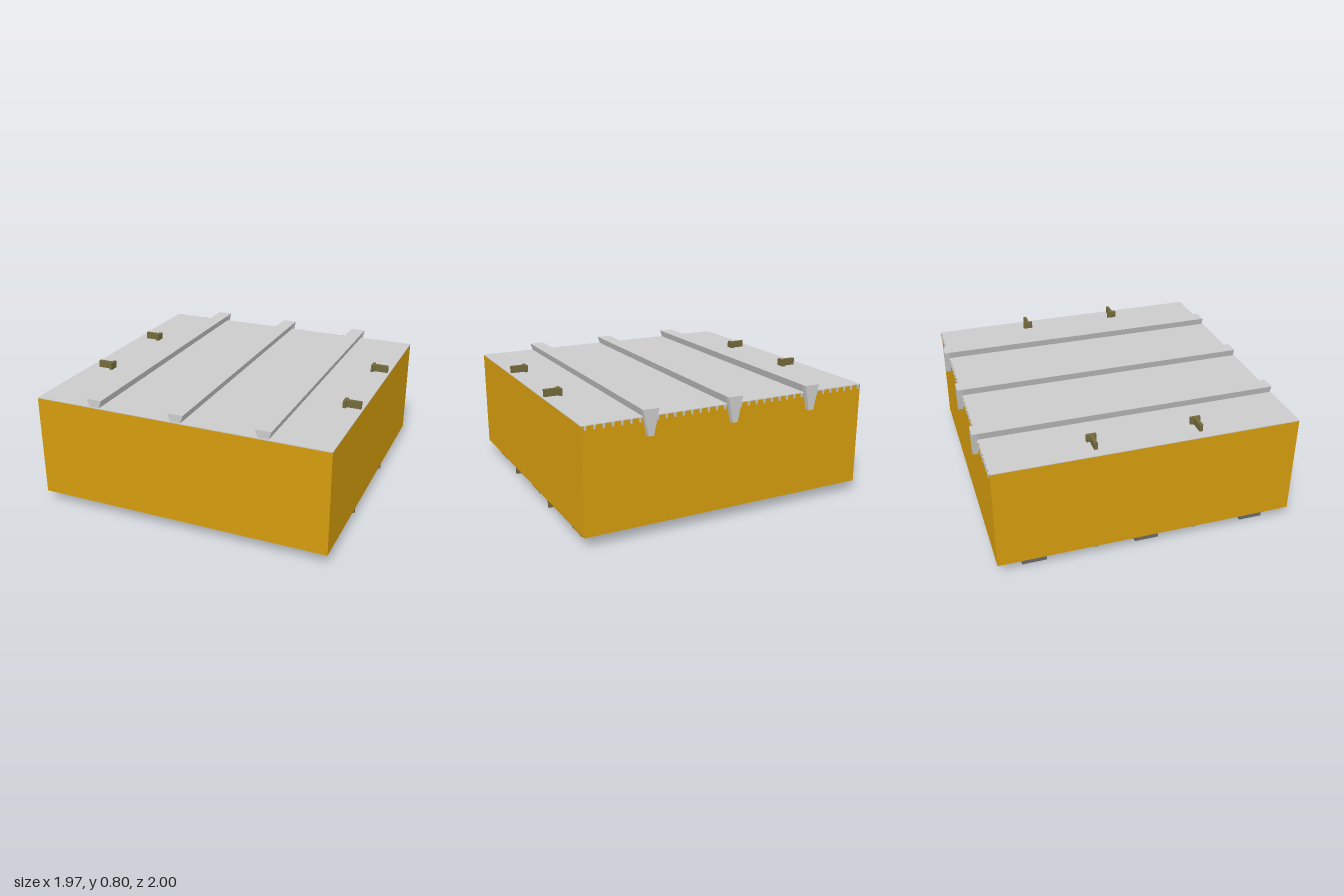
import * as THREE from 'three';

const paint = (color) => new THREE.MeshStandardMaterial({ color, flatShading: true });

export function createModel() {
  const model = new THREE.Group();
  const yellow = paint(0xd59c0d);
  const grey = paint(0xcccccc);
  const olive = paint(0x746a3c);
  const dark = paint(0x686868);
  dark.side = THREE.DoubleSide;

  const add = (name, geometry, material, parent = model) => {
    const mesh = new THREE.Mesh(geometry, material);
    mesh.name = name;
    parent.add(mesh);
    return mesh;
  };
  // Box given by its extents on each axis
  const box = (name, [x0, x1], [y0, y1], [z0, z1], material, parent) => {
    const mesh = add(name, new THREE.BoxGeometry(x1 - x0, y1 - y0, z1 - z0), material, parent);
    mesh.position.set((x0 + x1) / 2, (y0 + y1) / 2, (z0 + z1) / 2);
    return mesh;
  };
  // Symmetric profile of [halfWidth, y] points, extruded from z0 to z1
  const prism = (points, z0, z1) => {
    const right = points.map(([w, y]) => new THREE.Vector2(w, y));
    const left = points.map(([w, y]) => new THREE.Vector2(-w, y)).reverse();
    const shape = new THREE.Shape([...right, ...left]);
    return new THREE.ExtrudeGeometry(shape, { depth: z1 - z0, bevelEnabled: false }).translate(0, 0, z0);
  };

  // Main body and thin lid
  box('body', [-0.983, 0.983], [0.07, 0.745], [-0.965, 1], yellow);
  box('lid', [-0.983, 0.983], [0.745, 0.75], [-0.966, 1], grey);

  // Ribs along the lid, each with a tapered end hanging over the back
  for (const x of [-0.565, 0, 0.565]) {
    const rib = new THREE.Group();
    rib.name = 'rib';
    rib.position.x = x;
    add('ribBar', prism([[0.034, 0.748], [0.051, 0.8]], -0.965, 0.992), grey, rib);
    add('ribEnd', prism([[0.017, 0.637], [0.051, 0.8]], -1, -0.965), grey, rib);
    model.add(rib);
  }

  // Row of small teeth under the back edge of the lid
  for (let i = -17; i <= 17; i++) {
    if (i % 10 === 0) continue;
    const tooth = add('tooth', prism([[0.004, 0.72], [0.008, 0.75]], -0.974, -0.965), grey);
    tooth.position.x = i * 0.0565;
  }

  // T-shaped lugs above and below
  for (const [y0, y1] of [[0.75, 0.797], [0.007, 0.07]]) {
    for (const z of [0.36, -0.315]) {
      for (const [bar, stem] of [
        [[-0.826, -0.805], [-0.917, -0.826]],
        [[0.856, 0.876], [0.876, 0.969]],
      ]) {
        const lug = new THREE.Group();
        lug.name = 'lug';
        box('lugBar', bar, [y0, y1], [z - 0.032, z + 0.032], olive, lug);
        box('lugStem', stem, [y0, y1], [z - 0.011, z + 0.011], olive, lug);
        model.add(lug);
      }
    }
  }

  // Hollow feet, open at the bottom
  for (const x of [-0.878, 0.878]) {
    for (const z of [0.76, 0.02, -0.725]) {
      const geometry = new THREE.CylinderGeometry(Math.SQRT1_2, Math.SQRT1_2, 1, 4, 1, true);
      geometry.rotateY(Math.PI / 4).scale(0.113, 0.071, 0.158);
      add('foot', geometry, dark).position.set(x, 0.0355, z);
    }
  }
  return model;
}
